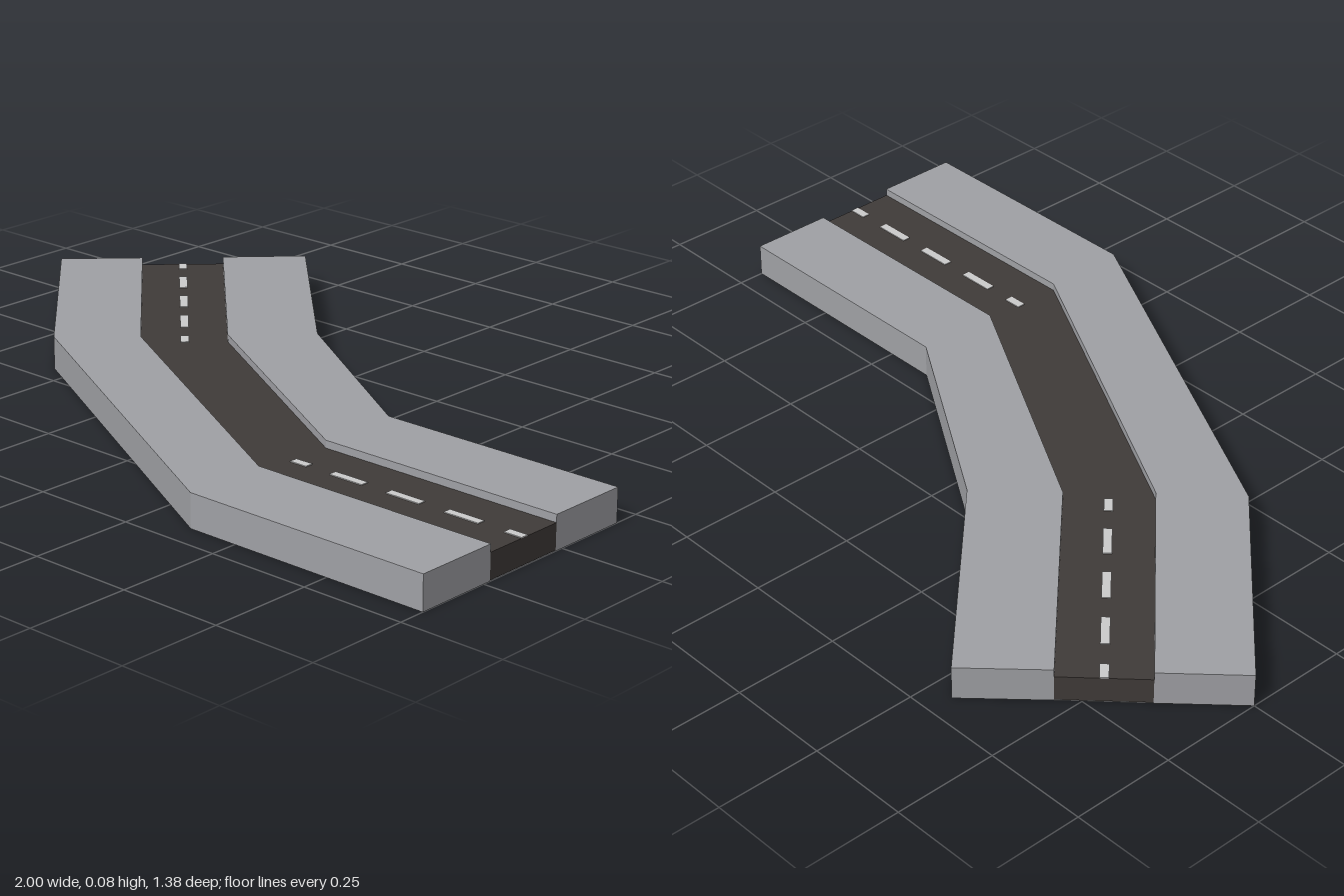
import * as THREE from 'three';

// Plan lines as [x, z], from the straight end to the angled end
const LINES = {
  inner: [[1, 0.065], [0.375, 0.065], [-0.12, -0.25], [-0.56, -0.69]],
  roadInner: [[1, 0.27], [0.375, 0.27], [-0.27, -0.1], [-0.708, -0.54]],
  roadOuter: [[1, 0.48], [0.375, 0.48], [-0.41, 0.05], [-0.854, -0.396]],
  outer: [[1, 0.685], [0.375, 0.685], [-0.56, 0.19], [-1, -0.25]],
};
const ROAD_Y = 0.062, TOP_Y = 0.08;

const mat = (color) => new THREE.MeshStandardMaterial({ color, flatShading: true });

// Closed outline between two plan lines
function strip(a, b) {
  return new THREE.Shape([...a, ...[...b].reverse()].map(([x, z]) => new THREE.Vector2(x, -z)));
}

// Upright prism between two plan lines
function prism(name, a, b, y0, y1, material) {
  const geo = new THREE.ExtrudeGeometry(strip(a, b), { depth: y1 - y0, bevelEnabled: false });
  geo.rotateX(-Math.PI / 2).translate(0, y0, 0);
  const mesh = new THREE.Mesh(geo, material);
  mesh.name = name;
  return mesh;
}

// Dashed line from one point to another, with half dashes at both ends
function dashes(name, [x0, z0], [x1, z1], material) {
  const group = new THREE.Group();
  group.name = name;
  const length = Math.hypot(x1 - x0, z1 - z0);
  const period = length / 4, half = 0.045;
  for (let i = 0; i <= 4; i++) {
    const s = Math.max(0, i * period - half);
    const e = Math.min(length, i * period + half);
    const dash = new THREE.Mesh(new THREE.BoxGeometry(e - s, 0.002, 0.02), material);
    dash.position.set((s + e) / 2, 0, 0);
    dash.name = 'dash';
    group.add(dash);
  }
  group.position.set(x0, ROAD_Y + 0.001, z0);
  group.rotation.y = -Math.atan2(z1 - z0, x1 - x0);
  return group;
}

export function createModel() {
  const model = new THREE.Group();
  model.name = 'roadBend';
  const pavement = mat(0xa0a1a5), asphalt = mat(0x403b39), paint = mat(0xc4c2c0);
  const { inner, roadInner, roadOuter, outer } = LINES;

  // Raised pavements and the sunken roadway
  model.add(prism('innerPavement', inner, roadInner, 0, TOP_Y, pavement));
  model.add(prism('outerPavement', roadOuter, outer, 0, TOP_Y, pavement));
  model.add(prism('roadway', roadInner, roadOuter, 0.002, ROAD_Y, asphalt));

  // Underside below the roadway, facing down
  const underside = new THREE.Mesh(new THREE.ShapeGeometry(strip(roadInner, roadOuter)), pavement.clone());
  underside.geometry.rotateX(-Math.PI / 2);
  underside.material.side = THREE.DoubleSide;
  underside.name = 'underside';
  model.add(underside);

  // Centre markings on the two straight stretches
  model.add(dashes('straightMarkings', [0.375, 0.373], [1, 0.373], paint));
  model.add(dashes('angledMarkings', [-0.34, -0.027], [-0.781, -0.468], paint));
  return model;
}
